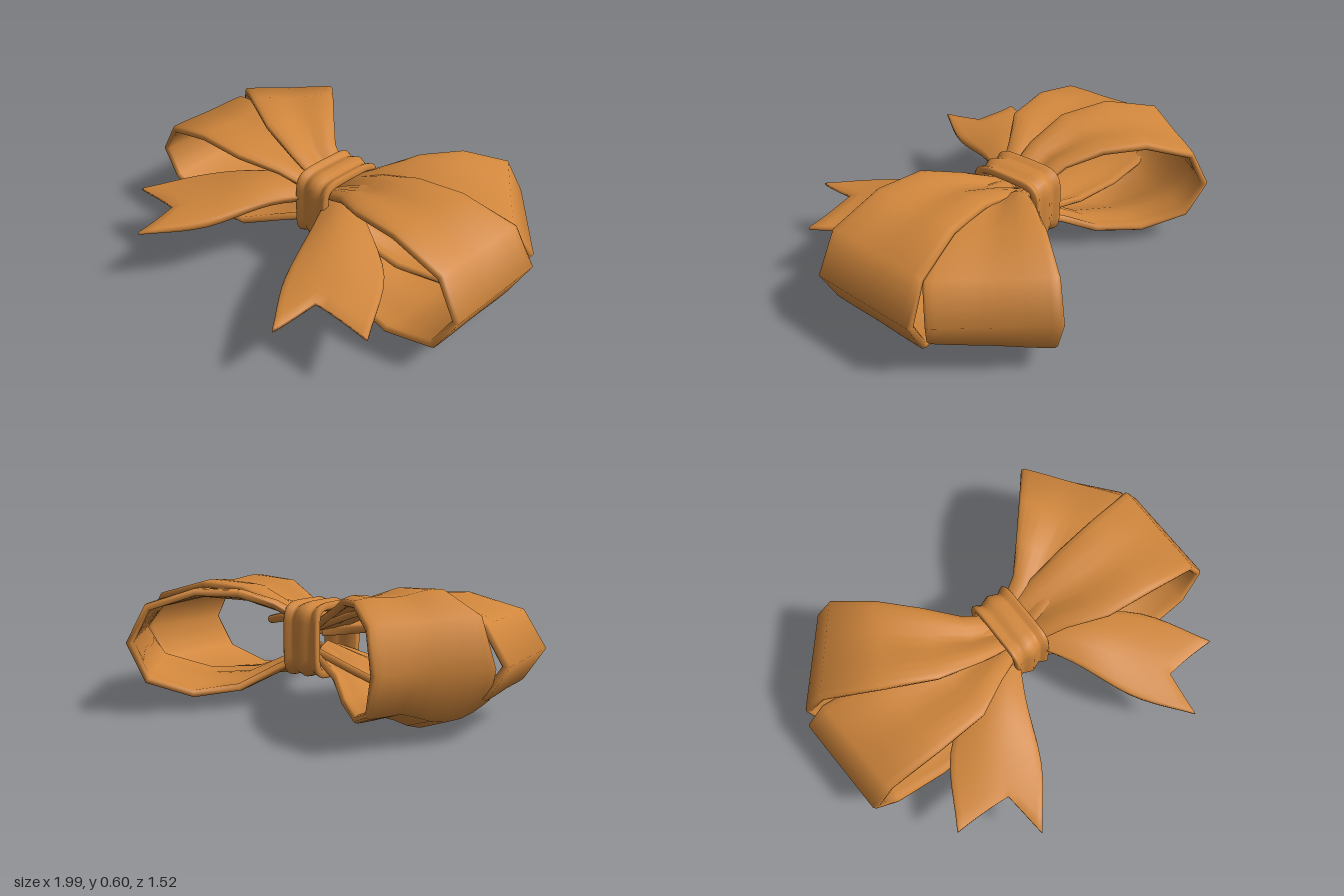
import * as THREE from 'three';

const material = new THREE.MeshStandardMaterial({ color: 0xd0863c, side: THREE.DoubleSide });
const lerp = THREE.MathUtils.lerp;

// Positions across the ribbon, denser at the rims so they read as rounded
const ACROSS = [0, 0.025, 0.08, 0.16, 0.26, 0.38, 0.5, 0.62, 0.74, 0.84, 0.92, 0.975, 1];

// Thick ribbon over a surface at(u, v): u runs along the cloth, v across it
function ribbon(name, at, rows, thickness, closed = false) {
  const n = ACROSS.length, ring = 2 * n;
  const pos = [], idx = [];
  const wrap = (u) => (closed ? u : THREE.MathUtils.clamp(u, 0, 1));
  for (let i = 0; i <= rows; i++) {
    const u = i / rows, top = [], bottom = [];
    for (const v of ACROSS) {
      const p = at(u, v);
      const tu = at(wrap(u + 1 / rows), v).sub(at(wrap(u - 1 / rows), v));
      const tv = at(u, Math.min(1, v + 0.02)).sub(at(u, Math.max(0, v - 0.02)));
      const normal = tu.cross(tv).normalize();
      const h = thickness(u) * (v === 0 || v === 1 ? 0.25 : 0.5);
      top.push(p.clone().addScaledVector(normal, h));
      bottom.unshift(p.clone().addScaledVector(normal, -h));
    }
    for (const p of [...top, ...bottom]) pos.push(p.x, p.y, p.z);
  }
  for (let i = 0; i < rows; i++) {
    for (let j = 0; j < ring; j++) {
      const a = i * ring + j, b = i * ring + ((j + 1) % ring);
      idx.push(a, a + ring, b, b, a + ring, b + ring);
    }
  }
  // End caps
  if (!closed) {
    for (let j = 0; j < n - 1; j++) {
      const c = ring - 1 - j, e = rows * ring;
      idx.push(j, j + 1, c, j + 1, c - 1, c);
      idx.push(e + j, e + c, e + j + 1, e + j + 1, e + c, e + c - 1);
    }
  }
  const geo = new THREE.BufferGeometry();
  geo.setAttribute('position', new THREE.Float32BufferAttribute(pos, 3));
  geo.setIndex(idx);
  geo.computeVertexNormals();
  const mesh = new THREE.Mesh(geo, material);
  mesh.name = name;
  return mesh;
}

const curve = (points) => new THREE.CatmullRomCurve3(points.map((p) => new THREE.Vector3(...p)));

// Side profile of a loop: distance from the knot, relative height
const PROFILE = [
  [0, 0.25], [0.2, 0.66], [0.4, 0.93], [0.64, 1], [0.9, 0.72], [1, 0],
  [0.91, -0.7], [0.66, -1], [0.4, -0.92], [0.2, -0.6], [0, -0.25],
];

// Loop with a front and a back edge in plan [x, z]; up and down give heights at
// [front, back], tuck slides the underside's front edge forward, sag bellies it out
function loop(name, { front, back, mid, up, down, tuck = 0, sag = 0 }) {
  const f = curve(front.map(([x, z]) => [x, 0, z]));
  const b = curve(back.map(([x, z]) => [x, 0, z]));
  const last = PROFILE.length - 1;
  const at = (u, v) => {
    const k = Math.min(last - 1, Math.floor(u * last + 1e-6)), t = u * last - k;
    const d = THREE.MathUtils.clamp(lerp(PROFILE[k][0], PROFILE[k + 1][0], t), 0, 1);
    const s = lerp(PROFILE[k][1], PROFILE[k + 1][1], t);
    const p = f.getPointAt(d).lerp(b.getPointAt(d), v);
    const reach = s > 0 ? up : down;
    // Creases fan out of the knot and fade away
    const crease = 0.018 * (1 - d) * Math.sin(v * Math.PI * 3) * Math.sign(s);
    const under = Math.max(0, -s) * Math.min(1, d * 2.5);
    p.y = mid + s * lerp(reach[0], reach[1], v) + crease;
    p.y -= under * sag * Math.sin(Math.PI * Math.min(1, v / 0.7));
    p.z += under * tuck * (1 - v);
    return p;
  };
  return ribbon(name, at, last, () => 0.034);
}

// Tail with a notched, thinning end; side mirrors it about the knot
function tail(name, side) {
  const inner = curve([[0.05, 0.36, 0], [0.17, 0.37, 0.22], [0.3, 0.33, 0.52], [0.48, 0.32, 0.76]]);
  const outer = curve([[0.05, 0.37, -0.12], [0.35, 0.385, 0.06], [0.59, 0.34, 0.22], [0.78, 0.32, 0.53]]);
  const at = (u, v) => {
    const notch = v < 0.38 ? v / 0.38 : (1 - v) / 0.62;
    const w = u * (1 - 0.17 * notch);
    const p = inner.getPointAt(w).lerp(outer.getPointAt(w), v);
    p.y += 0.04 * Math.sin(v * Math.PI) * Math.sin(w * Math.PI);
    if (side < 0) p.x = 0.05 - p.x;
    return p;
  };
  return ribbon(name, at, 14, (u) => 0.045 * (1 - 0.6 * u ** 4));
}

// Ridged band around the middle
function knot() {
  const soft = (c) => Math.sign(c) * Math.pow(Math.abs(c), 0.38);
  const at = (u, v) => {
    const a = u * Math.PI * 2 - Math.PI / 2;
    const r = 1 + 0.055 * Math.cos(v * Math.PI * 4);
    return new THREE.Vector3(
      lerp(-0.07, 0.12, v),
      0.34 + 0.153 * r * soft(Math.sin(a)),
      -0.08 + 0.164 * r * soft(Math.cos(a)),
    );
  };
  return ribbon('knot', at, 32, () => 0.035, true);
}

export function createModel() {
  const bow = new THREE.Group();
  bow.name = 'bow';
  bow.add(
    loop('frontLeftLoop', {
      front: [[0.04, 0.03], [0.2, 0.09], [0.42, 0.2], [0.7, 0.22], [0.97, 0.23]],
      back: [[0.04, -0.18], [0.3, -0.2], [0.6, -0.23], [0.98, -0.3]],
      mid: 0.335, up: [0.235, 0.23], down: [0.24, 0.24], tuck: 0.035,
    }),
    loop('frontRightLoop', {
      front: [[0.01, 0.03], [-0.13, 0.09], [-0.32, 0.21], [-0.58, 0.235], [-0.95, 0.225]],
      back: [[0.01, -0.16], [-0.3, -0.18], [-0.6, -0.22], [-0.98, -0.29]],
      mid: 0.335, up: [0.21, 0.195], down: [0.19, 0.19],
    }),
    loop('backLeftLoop', {
      front: [[0.04, 0.01], [0.3, -0.04], [0.6, -0.13], [0.8, -0.21], [0.95, -0.34]],
      back: [[0.04, -0.18], [0.15, -0.23], [0.36, -0.46], [0.61, -0.755]],
      mid: 0.345, up: [0.18, 0.22], down: [0.22, 0.25],
    }),
    loop('backRightLoop', {
      front: [[0.01, 0], [-0.23, 0.0], [-0.42, -0.03], [-0.65, -0.14], [-0.96, -0.34]],
      back: [[0.01, -0.17], [-0.12, -0.22], [-0.34, -0.43], [-0.64, -0.73]],
      mid: 0.335, up: [0.255, 0.225], down: [0.2, 0.24], tuck: 0.13, sag: 0.095,
    }),
    tail('leftTail', 1),
    tail('rightTail', -1),
    knot(),
  );
  return bow;
}
